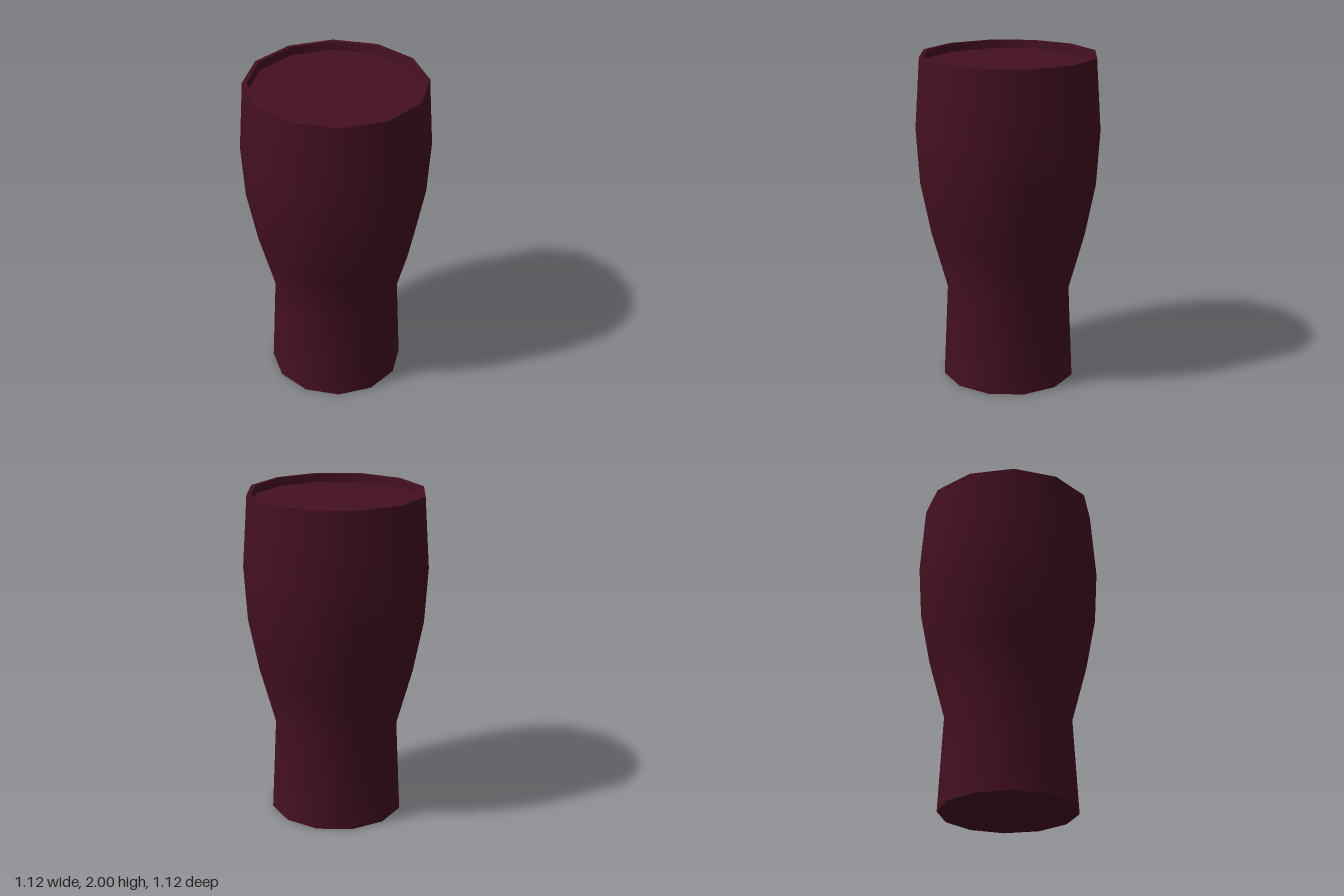
import * as THREE from 'three';

const SIDES = 12;
const material = new THREE.MeshStandardMaterial({ color: 0x451020 });

// One turned surface; separate surfaces keep the edges between them sharp.
function turned(name, profile) {
  const points = profile.map(([r, y]) => new THREE.Vector2(r, y));
  const mesh = new THREE.Mesh(new THREE.LatheGeometry(points, SIDES), material);
  mesh.name = name;
  return mesh;
}

export function createModel() {
  const group = new THREE.Group();
  group.name = 'pintGlass';

  group.add(
    // flat underside
    turned('base', [[0, 0], [0.412, 0]]),
    // narrow foot swelling into the bowl, then tapering to the rim
    turned('outerWall', [
      [0.412, 0], [0.383, 0.58], [0.478, 0.93], [0.54, 1.25], [0.56, 1.58], [0.53, 2],
    ]),
    // flat lip and the short inner wall above the drink
    turned('rim', [[0.53, 2], [0.505, 2]]),
    turned('innerWall', [[0.505, 2], [0.5, 1.95]]),
    // surface of the drink
    turned('drink', [[0.5, 1.95], [0, 1.95]]),
  );
  return group;
}
